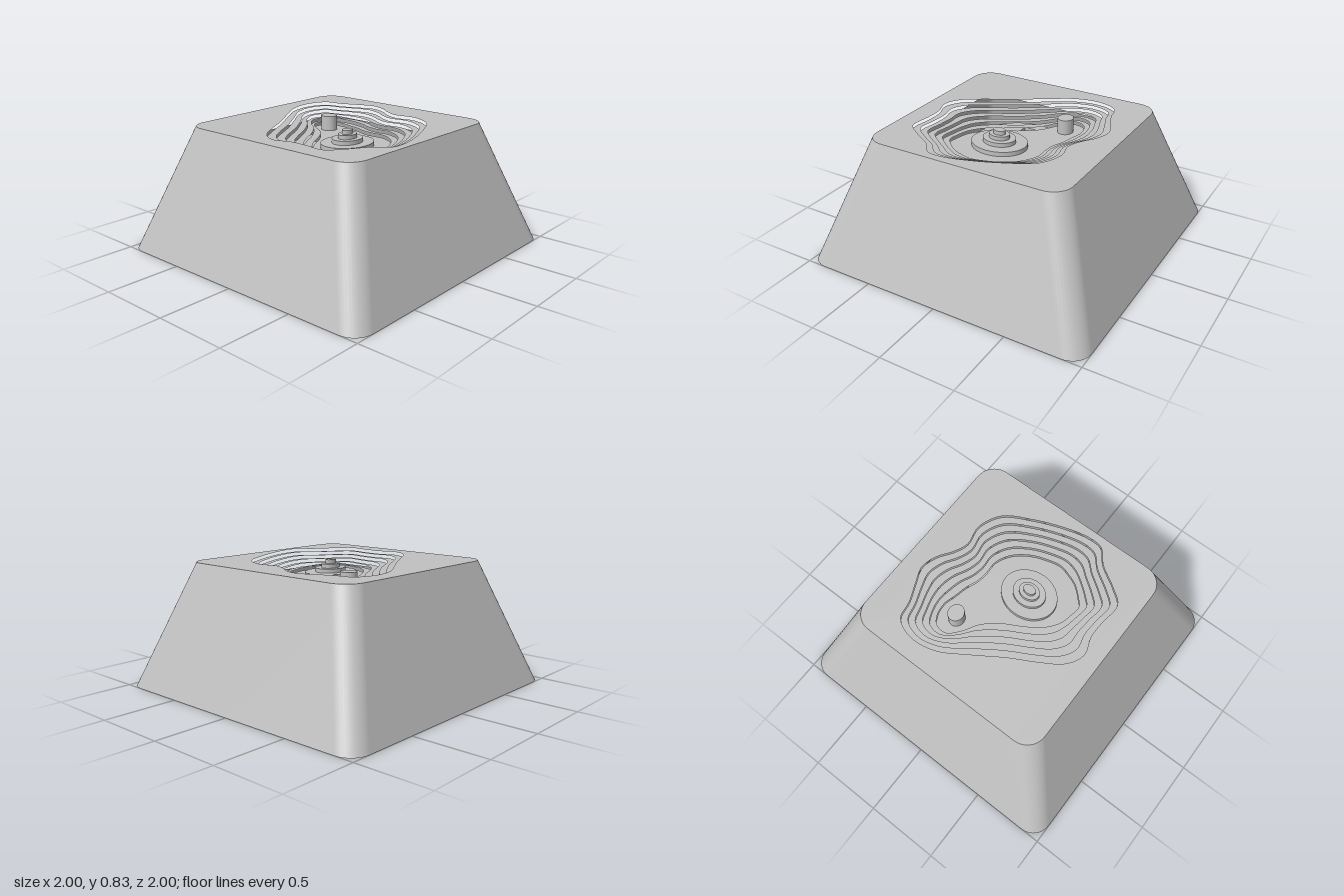
import * as THREE from 'three';
import { toCreasedNormals } from 'three/addons/utils/BufferGeometryUtils.js';

const HEIGHT = 0.835, CEILING = 0.7, STEP = 0.02;

// Outer and inner outlines of the terraced relief, as [x, z] pairs
const RIM = [[-0.17, -0.57], [-0.06, -0.54], [0.03, -0.48], [0.13, -0.44], [0.27, -0.46], [0.42, -0.39], [0.52, -0.22],
  [0.6, -0.02], [0.64, 0.15], [0.63, 0.25], [0.54, 0.33], [0.45, 0.47], [0.37, 0.56], [0.22, 0.55], [0.1, 0.55],
  [-0.02, 0.585], [-0.13, 0.53], [-0.22, 0.4], [-0.32, 0.22], [-0.45, 0.02], [-0.55, -0.15], [-0.575, -0.32],
  [-0.52, -0.45], [-0.4, -0.48], [-0.28, -0.53]];
const FLOOR = [[-0.17, -0.31], [-0.08, -0.29], [0, -0.26], [0.08, -0.25], [0.17, -0.25], [0.27, -0.2], [0.35, -0.1],
  [0.39, 0], [0.41, 0.1], [0.39, 0.18], [0.36, 0.25], [0.3, 0.32], [0.25, 0.36], [0.16, 0.35], [0.09, 0.33],
  [0.02, 0.28], [-0.03, 0.22], [-0.08, 0.14], [-0.13, 0.05], [-0.22, -0.06], [-0.33, -0.13], [-0.4, -0.2],
  [-0.39, -0.28], [-0.33, -0.32], [-0.25, -0.33]];

// Smooth closed outline a fraction t of the way from the rim to the floor
function contour(t) {
  const pts = RIM.map(([x, z], i) => new THREE.Vector3(
    THREE.MathUtils.lerp(x, FLOOR[i][0], t), -THREE.MathUtils.lerp(z, FLOOR[i][1], t), 0));
  const curve = new THREE.CatmullRomCurve3(pts, true);
  return curve.getPoints(125).slice(0, -1).map(p => new THREE.Vector2(p.x, p.y));
}

// Counter-clockwise rounded square
function roundedSquare(half, r) {
  const pts = [];
  for (let c = 0; c < 4; c++) for (let k = 0; k <= 10; k++) {
    const a = (c + k / 10) * Math.PI / 2;
    const sx = c === 0 || c === 3 ? 1 : -1, sy = c < 2 ? 1 : -1;
    pts.push(new THREE.Vector2(sx * (half - r) + r * Math.cos(a), sy * (half - r) + r * Math.sin(a)));
  }
  return pts;
}

function ellipse(x, z, rx, rz, n = 40) {
  return Array.from({ length: n }, (_, i) => {
    const a = i / n * Math.PI * 2;
    return new THREE.Vector2(x + rx * Math.cos(a), -z + rz * Math.sin(a));
  });
}

function makeShape(outline, hole) {
  const s = new THREE.Shape(outline);
  if (hole) s.holes.push(new THREE.Path(hole));
  return s;
}

// Vertical solid between two heights
function slab(outline, hole, y0, y1) {
  const g = new THREE.ExtrudeGeometry(makeShape(outline, hole), { depth: y1 - y0, bevelEnabled: false });
  g.rotateX(-Math.PI / 2).translate(0, y0, 0);
  return toCreasedNormals(g, 0.6);
}

// Flat face looking up or down
function face(outline, hole, y, up) {
  return new THREE.ShapeGeometry(makeShape(outline, hole)).rotateX(up ? -Math.PI / 2 : Math.PI / 2).translate(0, y, 0);
}

// Sloping wall between two matching outlines
function loft(low, high, y0, y1, inward) {
  const n = low.length, pos = [], idx = [];
  low.forEach(p => pos.push(p.x, y0, -p.y));
  high.forEach(p => pos.push(p.x, y1, -p.y));
  for (let i = 0; i < n; i++) {
    const j = (i + 1) % n;
    if (inward) idx.push(i, n + j, j, i, n + i, n + j);
    else idx.push(i, j, n + j, i, n + j, n + i);
  }
  const g = new THREE.BufferGeometry();
  g.setAttribute('position', new THREE.Float32BufferAttribute(pos, 3));
  g.setIndex(idx);
  g.computeVertexNormals();
  return g;
}

export function createModel() {
  const model = new THREE.Group();
  const grey = new THREE.MeshStandardMaterial({ color: 0xc0c0c0 });
  grey.name = 'light grey';
  const add = (name, geometry) => {
    const mesh = new THREE.Mesh(geometry, grey);
    mesh.name = name;
    model.add(mesh);
  };

  // Hollow tapered shell
  const base = roundedSquare(1, 0.13), top = roundedSquare(0.695, 0.13);
  const innerBase = roundedSquare(0.86, 0.06), innerTop = roundedSquare(0.61, 0.06);
  add('outerWall', loft(base, top, 0, HEIGHT, false));
  add('innerWall', loft(innerBase, innerTop, 0, CEILING, true));
  add('bottomRim', face(base, innerBase, 0, false));
  add('ceiling', face(innerTop, null, CEILING, false));
  add('topFace', face(top, contour(0), HEIGHT, true));

  // Terraces stepping down into the top
  const levels = 5, floorY = HEIGHT - STEP * (levels + 1);
  // Thin wall lining at the rim
  add('rimWall', loft(contour(0), contour(0), CEILING + 0.005, HEIGHT, true));
  for (let i = 0; i < levels; i++) {
    add('terrace' + (i + 1), slab(contour(i / levels), contour((i + 1) / levels), CEILING + 0.005, HEIGHT - STEP * (i + 1)));
  }
  add('reliefFloor', slab(contour(1), null, CEILING + 0.005, floorY));

  // Tiered main summit and the smaller one beside it
  [[0.16, 0.19], [0.092, 0.112], [0.055, 0.07], [0.03, 0.042]].forEach(([rx, rz], i) =>
    add('summitTier' + (i + 1), slab(ellipse(0.125, 0.06, rx, rz), null, floorY - 0.005, floorY + 0.03 + i * 0.027)));
  add('smallSummit', slab(ellipse(-0.275, -0.21, 0.057, 0.052), null, floorY - 0.005, HEIGHT - 0.02));

  // Round stem with a cross-shaped socket
  const L = 0.22, W = 0.07;
  const cross = [[L, -W], [L, W], [W, W], [W, L], [-W, L], [-W, W], [-L, W], [-L, -W], [-W, -W], [-W, -L], [W, -L], [W, -W]]
    .map(([x, y]) => new THREE.Vector2(x, y));
  add('stem', slab(ellipse(0, 0, 0.3, 0.3, 64), cross, 0, CEILING));

  return model;
}
